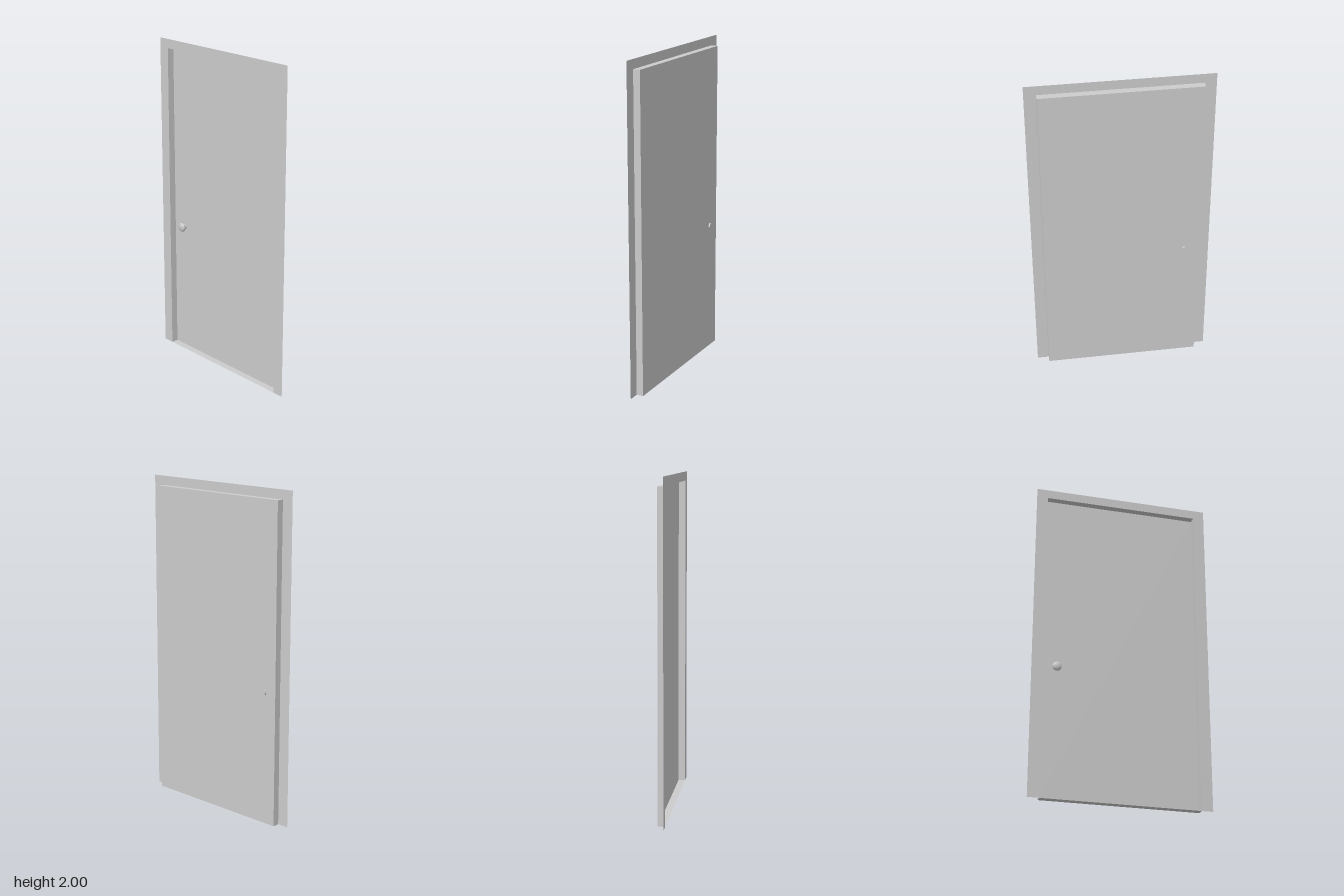
import * as THREE from 'three';

const WIDTH = 1.088, HEIGHT = 2;          // outer frame
const HALF = 0.474, TOP = 1.944;          // door opening
const FRONT = 0.026, BACK = -0.017;       // frame plane and door plane
const KNOB = { x: -0.387, y: 0.817 };

export function createModel() {
  const group = new THREE.Group();
  const sheet = new THREE.MeshStandardMaterial({ color: 0xcccccc, side: THREE.DoubleSide });
  const solid = new THREE.MeshStandardMaterial({ color: 0xcccccc });

  const add = (name, geometry, material, x, y, z) => {
    const mesh = new THREE.Mesh(geometry, material);
    mesh.name = name;
    mesh.position.set(x, y, z);
    group.add(mesh);
    return mesh;
  };

  // Thin frame around the opening, open at the floor
  const w = WIDTH / 2;
  const outline = [[-w, 0], [-HALF, 0], [-HALF, TOP], [HALF, TOP], [HALF, 0], [w, 0], [w, HEIGHT], [-w, HEIGHT]];
  const frame = new THREE.Shape(outline.map(([x, y]) => new THREE.Vector2(x, y)));
  add('frame', new THREE.ShapeGeometry(frame), sheet, 0, 0, FRONT);

  // Recessed door leaf
  add('doorPanel', new THREE.PlaneGeometry(HALF * 2, TOP), sheet, 0, TOP / 2, BACK);

  // Reveals joining the frame to the door leaf
  const depth = FRONT - BACK, mid = (FRONT + BACK) / 2;
  for (const side of [-1, 1]) {
    const jamb = add(side < 0 ? 'rightJamb' : 'leftJamb',
      new THREE.PlaneGeometry(depth, TOP), sheet, side * HALF, TOP / 2, mid);
    jamb.rotation.y = -side * Math.PI / 2;
  }
  for (const [name, y, turn] of [['sill', 0, -1], ['head', TOP, 1]]) {
    const reveal = add(name, new THREE.PlaneGeometry(HALF * 2, depth), sheet, 0, y, mid);
    reveal.rotation.x = turn * Math.PI / 2;
  }

  // Knob shaft passing through the door
  const shaft = add('knobShaft', new THREE.CylinderGeometry(0.0175, 0.0175, 0.029, 24), solid,
    KNOB.x, KNOB.y, -0.0115);
  shaft.rotation.x = Math.PI / 2;

  // Rounded knob on the front
  const profile = [[0, -0.006], [0.0175, -0.006], [0.025, -0.003], [0.028, 0.003],
    [0.027, 0.009], [0.022, 0.014], [0.012, 0.017], [0, 0.018]];
  const knob = add('knob', new THREE.LatheGeometry(profile.map(([r, h]) => new THREE.Vector2(r, h)), 24), solid,
    KNOB.x, KNOB.y, 0);
  knob.rotation.x = Math.PI / 2;

  return group;
}
